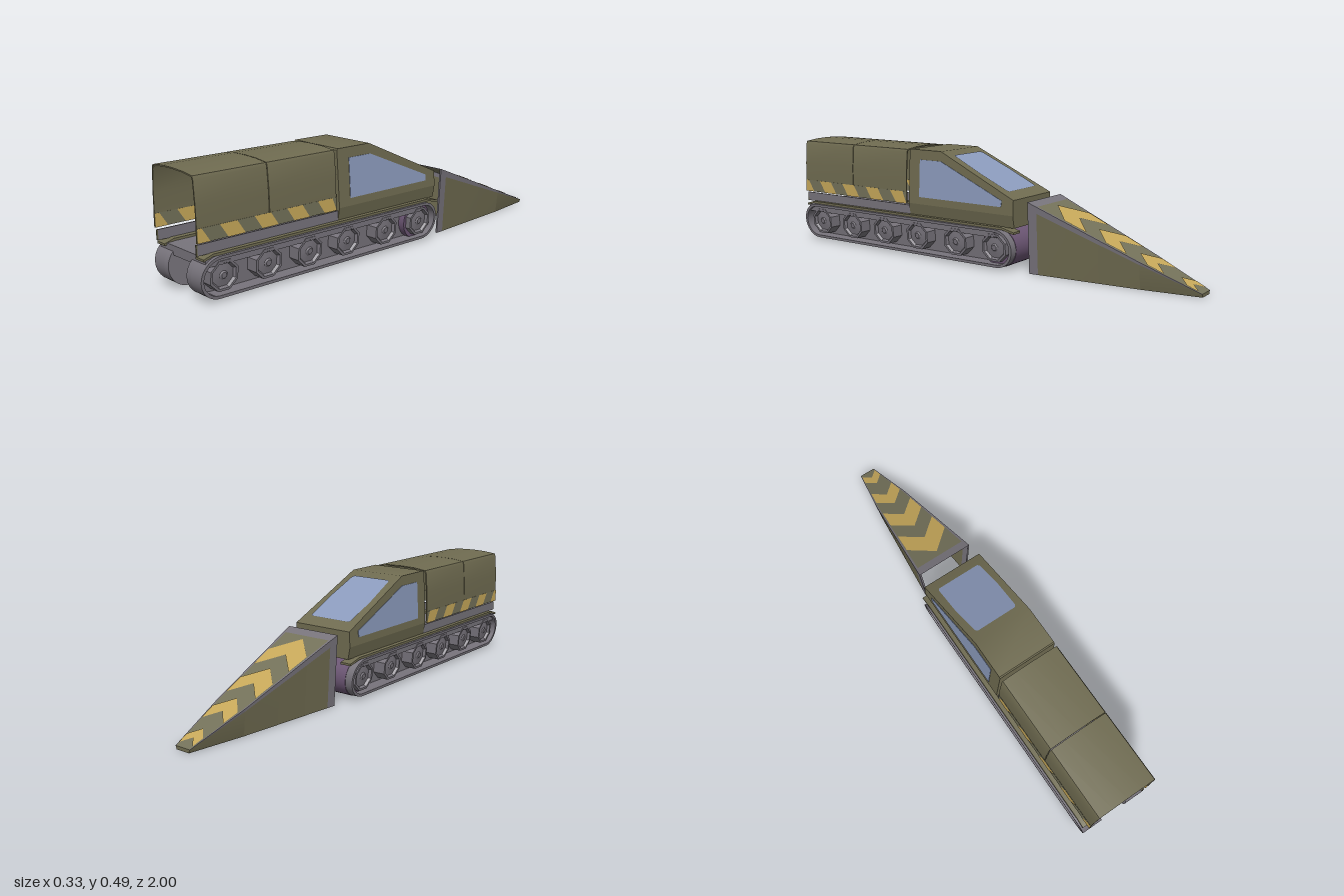
import * as THREE from 'three';
import { toCreasedNormals } from 'three/addons/utils/BufferGeometryUtils.js';

const mat = (name, color) => {
  const m = new THREE.MeshStandardMaterial({ color, side: THREE.DoubleSide });
  m.name = name;
  return m;
};

export function createModel() {
  const root = new THREE.Group();
  const olive = mat('olive', 0x706c51), paleOlive = mat('pale olive', 0x74725a);
  const grey = mat('grey', 0x78747c), yellow = mat('hazard yellow', 0xc8a95a);
  const glass = mat('glass blue', 0x8c9bbd), purple = mat('purple', 0x6c5674);

  const add = (name, geo, material) => {
    const m = new THREE.Mesh(toCreasedNormals(geo, 0.6), material);
    m.name = name;
    root.add(m);
    return m;
  };
  const box = (name, material, x0, x1, y0, y1, z0, z1) => add(name,
    new THREE.BoxGeometry(x1 - x0, y1 - y0, z1 - z0)
      .translate((x0 + x1) / 2, (y0 + y1) / 2, (z0 + z1) / 2), material);
  const shapeOf = pts => new THREE.Shape(pts.map(p => new THREE.Vector2(...p)));
  // Extrudes a (z, y) profile along x
  const extrudeX = (shape, x0, x1) => new THREE.ExtrudeGeometry(shape,
    { depth: x1 - x0, bevelEnabled: false, curveSegments: 12 }).rotateY(-Math.PI / 2).translate(x1, 0, 0);
  // Scales x by a rule of height
  const widthByY = (geo, f) => {
    const p = geo.attributes.position;
    for (let i = 0; i < p.count; i++) p.setX(i, p.getX(i) * f(p.getY(i)));
    return geo;
  };
  const span = (s, a, b) => (s > 0 ? [a, b] : [-b, -a]);
  // Flat convex polygon as a fan
  const poly = (name, pts, material) => {
    const v = [];
    for (let i = 1; i < pts.length - 1; i++) v.push(...pts[0], ...pts[i], ...pts[i + 1]);
    const g = new THREE.BufferGeometry();
    g.setAttribute('position', new THREE.Float32BufferAttribute(v, 3));
    return add(name, g, material);
  };

  // Tracks: belt loops leaning outward with height, closed on the inner side
  const lean = y => 1 + 0.62 * (y - 0.178);
  const CY = 0.095, ZB = 0.917, ZF = -0.137;
  const stadium = (r, Cls = THREE.Shape) => {
    const s = new Cls();
    s.absarc(ZB, CY, r, -Math.PI / 2, Math.PI / 2, false);
    s.absarc(ZF, CY, r, Math.PI / 2, Math.PI * 1.5, false);
    s.closePath();
    return s;
  };
  // Wheel profile: radius, height along the axle, with a dished face
  const wheelProfile = [[0.064, 0], [0.064, 0.062], [0.054, 0.062], [0.047, 0.05], [0.018, 0.054], [0.012, 0.06], [0, 0.06]]
    .map(p => new THREE.Vector2(...p));
  const wheelZ = [0.895, 0.695, 0.495, 0.295, 0.08, -0.125];
  for (const s of [1, -1]) {
    add('trackBody', widthByY(extrudeX(stadium(0.083), ...span(s, 0.065, 0.095)), lean), grey);
    const rim = stadium(0.083);
    rim.holes.push(stadium(0.071, THREE.Path));
    add('trackBelt', widthByY(extrudeX(rim, ...span(s, 0.095, 0.165)), lean), grey);
    for (const z of wheelZ) {
      const g = new THREE.LatheGeometry(wheelProfile, 8).rotateY(Math.PI / 8)
        .rotateZ(-s * Math.PI / 2).translate(s * 0.093, CY, z);
      add('roadWheel', widthByY(g, lean), grey);
    }
    // Fender strip with bent ends
    add('fender', extrudeX(shapeOf([[0.985, 0.167], [0.945, 0.179], [-0.17, 0.179], [-0.23, 0.165],
      [-0.23, 0.174], [-0.17, 0.189], [0.945, 0.189], [0.985, 0.176]]), ...span(s, 0.105, 0.156)), olive);
    // Side rail under the cargo cover
    box('bedRail', grey, ...span(s, 0.13, 0.136), 0.187, 0.228, 0.34, 0.995);
    box('bedRailEnd', olive, ...span(s, 0.13, 0.136), 0.187, 0.228, 0.995, 1);
  }

  // Chassis
  box('bedFloor', grey, -0.15, 0.15, 0.14, 0.178, -0.13, 0.975);
  const drum = new THREE.CylinderGeometry(0.085, 0.085, 0.256, 32).rotateZ(Math.PI / 2).translate(0, CY, ZF);
  add('frontDrum', widthByY(drum, lean), purple);

  // Cargo cover: two open arched sections
  const half = [[0.144, 0.235], [0.144, 0.29], [0.143, 0.37], [0.136, 0.465], [0.131, 0.477], [0.07, 0.484]];
  const arch = d => [...half.map(([x, y], i) => [x - d, i ? y - d : y]), [0, 0.486 - d],
    ...half.map(([x, y], i) => [-(x - d), i ? y - d : y]).reverse()];
  for (const [z0, z1] of [[0.355, 0.683], [0.686, 1]]) {
    const s = shapeOf([...arch(0), ...arch(0.005).reverse()]);
    add('cargoCover', new THREE.ExtrudeGeometry(s, { depth: z1 - z0, bevelEnabled: false }).translate(0, 0, z0), olive);
  }
  // Hazard band on both cover sides, striped outside and inside
  const clampZ = q => Math.min(1, Math.max(0.355, q));
  for (const s of [1, -1]) {
    box('hazardBand', paleOlive, ...span(s, 0.1385, 0.145), 0.235, 0.289, 0.355, 1);
    for (const x of [s * 0.1462, s * 0.1373]) {
      for (let i = 0; i < 5; i++) {
        const z = 0.397 + i * 0.151;
        poly('hazardStripe', [[x, 0.235, clampZ(z - 0.055)], [x, 0.235, clampZ(z + 0.02)],
          [x, 0.289, clampZ(z + 0.055)], [x, 0.289, clampZ(z - 0.02)]], yellow);
      }
    }
  }

  // Cab: lower tub and sloping upper body
  const cabW = y => (y < 0.24 ? 0.135 + (y - 0.187) * 0.2 : 0.1456 - (y - 0.24) * 0.052);
  const slopeY = z => 0.305 + (z + 0.22) * 0.4545;
  const cabPart = (name, pts, x0, x1, m) => add(name, widthByY(extrudeX(shapeOf(pts), x0, x1), cabW), m);
  cabPart('cabTub', [[-0.22, 0.187], [0.34, 0.187], [0.34, 0.24], [-0.22, 0.24]], -1, 1, olive);
  cabPart('cabBody', [[-0.22, 0.24], [0.34, 0.24], [0.34, 0.474], [0.335, 0.48], [0.165, 0.48], [-0.22, 0.305]], -1, 1, olive);
  for (const s of [1, -1]) {
    cabPart('sideWindow', [[-0.16, 0.272], [0.28, 0.272], [0.28, 0.437], [0.163, 0.437], [-0.163, 0.298]],
      ...span(s, 0.99, 1.015), glass);
  }
  const edge = [[-0.17, 0.098], [-0.16, 0.105], [-0.03, 0.108], [0.11, 0.1], [0.12, 0.092]];
  const ws = (z, x) => [x, slopeY(z) + 0.004, z];
  poly('windshield', [...edge.map(([z, x]) => ws(z, x)), ...edge.map(([z, x]) => ws(z, -x)).reverse()], glass);

  // Plough wedge: hollow, open at the rear and below
  const hw = z => (z > -0.76 ? 0.13 + (z + 0.28) * 0.108 : 0.078 + (z + 0.76) * 0.17);
  const P = (z, u, v, lift = 0) => [u * hw(z) * (0.85 + 0.15 * v), v * (0.302 + (z + 0.28) * 0.4) + lift, z];
  const patch = (name, m, z0, z1, u0, v0, u1, v1) =>
    poly(name, [P(z0, u0, v0), P(z0, u1, v1), P(z1, u1, v1), P(z1, u0, v0)], m);
  const cuts = [-0.32, -0.45, -0.59, -0.76, -1];
  for (let i = 0; i < 4; i++) {
    const z0 = cuts[i], z1 = cuts[i + 1];
    patch('wedgeTop', paleOlive, z0, z1, -0.92, 1, 0.92, 1);
    for (const s of [1, -1]) {
      patch('wedgeSide', olive, z0, z1, s, 0, s, 0.9);
      patch('wedgeSideRim', grey, z0, z1, s, 0.9, s, 1);
      patch('wedgeTopRim', grey, z0, z1, s * 0.92, 1, s, 1);
    }
  }
  // Closed nose
  patch('noseFloor', olive, -0.93, -1, -1, 0, 1, 0);
  poly('noseTip', [P(-1, -1, 0), P(-1, -1, 1), P(-1, 1, 1), P(-1, 1, 0)], olive);
  // Rear frame of the wedge
  patch('wedgeRearFrame', grey, -0.28, -0.32, -1, 1, 1, 1);
  for (const s of [1, -1]) {
    patch('wedgeRearPost', grey, -0.28, -0.32, s, 0, s, 1);
    poly('wedgePostFace', [P(-0.28, s, 0), P(-0.28, s, 1), P(-0.28, s * 0.93, 1), P(-0.28, s * 0.93, 0)], grey);
  }
  // Chevrons on the wedge top
  for (const [a, b] of [[-0.345, -0.45], [-0.54, -0.635], [-0.725, -0.8], [-0.9, -0.95]]) {
    for (const s of [1, -1]) {
      const wing = z => Math.max(-1, z - 0.9 * hw(z) * 0.85);
      poly('chevron', [P(a, 0, 1, 0.003), P(wing(a), s * 0.9, 1, 0.003),
        P(wing(b), s * 0.9, 1, 0.003), P(b, 0, 1, 0.003)], yellow);
    }
  }
  return root;
}
